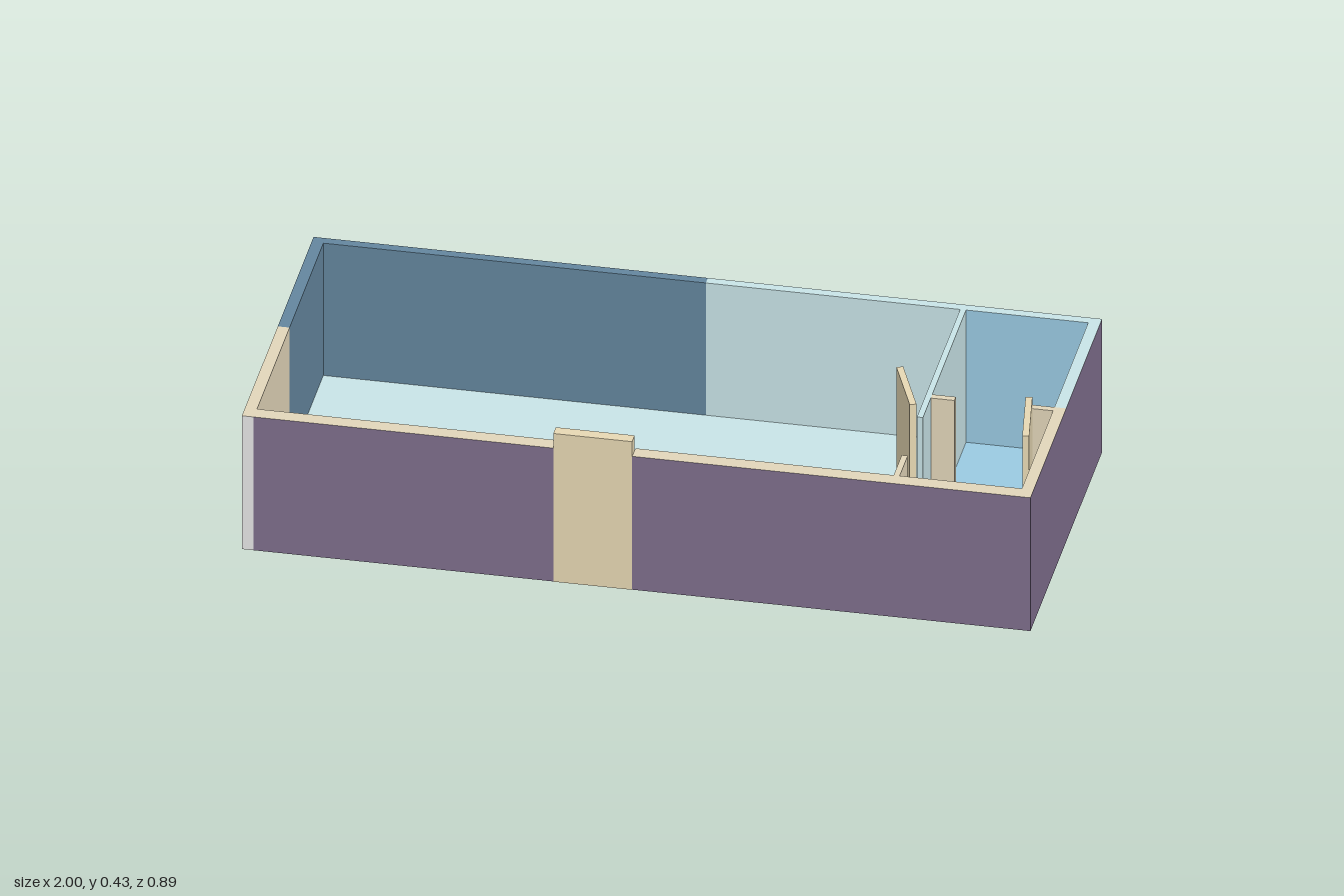
import * as THREE from 'three';

const mat = (name, color) => {
  const m = new THREE.MeshStandardMaterial({ color });
  m.name = name;
  return m;
};

export function createModel() {
  const model = new THREE.Group();
  model.name = 'openRoofHouse';

  const purple = mat('outer purple', 0x7e6e8c);
  const slate = mat('slate blue', 0x64869e);
  const pale = mat('pale blue', 0xd2eff2);
  const beige = mat('beige', 0xe2d6ba);
  const bath = mat('bath blue', 0x9acae2);
  const white = mat('white', 0xfcfcfc);
  const pink = mat('pink', 0xffd0ea);
  const wood = mat('door wood', 0xe8d9b4);

  // Box from its limits; special gives other materials to single sides
  const SIDES = ['right', 'left', 'top', 'bottom', 'front', 'back'];
  const block = (name, [x0, x1], [y0, y1], [z0, z1], base, special = {}) => {
    const mesh = new THREE.Mesh(
      new THREE.BoxGeometry(x1 - x0, y1 - y0, z1 - z0),
      SIDES.map((s) => special[s] || base)
    );
    mesh.position.set((x0 + x1) / 2, (y0 + y1) / 2, (z0 + z1) / 2);
    mesh.name = name;
    model.add(mesh);
    return mesh;
  };

  const H = [0, 0.385];
  const FLOOR = [0, 0.003];
  const BACK = [-0.445, -0.42];
  const FRONT = [0.405, 0.445];

  // Floors of the three rooms
  block('mainFloor', [-0.97, 0.647], FLOOR, [-0.42, 0.405], pale);
  block('hallFloor', [0.647, 0.97], FLOOR, [0, 0.405], beige);
  block('bathFloor', [0.66, 0.97], FLOOR, [-0.42, 0], bath);

  // Back wall
  block('backWallLeft', [-0.97, 0], H, BACK, slate, { back: purple });
  block('backWallRight', [0, 0.66], H, BACK, pale, { back: purple });
  block('backWallBath', [0.66, 0.97], H, BACK, pale, { back: purple, front: bath });

  // End walls, running the full depth
  block('leftWallRear', [-1, -0.97], H, [-0.445, 0], slate, { left: purple, back: purple });
  block('leftWallFront', [-1, -0.97], H, [0, 0.445], beige, { left: purple, front: white });
  block('rightWallRear', [0.97, 1], H, [-0.445, 0], pale, { right: purple, back: purple });
  block('rightWallFront', [0.97, 1], H, [0, 0.445], beige, { right: purple, front: purple });

  // Front wall, open at the entrance
  block('frontWallLeft', [-0.97, -0.21], H, FRONT, beige, { front: purple, back: pink });
  block('frontWallMiddle', [-0.01, 0.65], H, FRONT, beige, { front: purple, back: white });
  block('frontWallHall', [0.65, 0.97], H, FRONT, beige, { front: purple });

  // Partition beside the hall and bath, with a doorway
  block('partitionRear', [0.645, 0.66], H, [-0.42, 0.115], pale);
  block('partitionFront', [0.645, 0.66], H, [0.305, 0.405], beige);

  // Stubs either side of the bath doorway
  for (const x of [[0.66, 0.72], [0.91, 0.97]])
    block('bathPartition', x, H, [0, 0.018], beige, { back: pale });

  // Entrance door, closed
  block('entranceDoor', [-0.21, -0.01], [0, 0.428], [0.415, 0.446], wood);

  // Interior doors standing open, from hinge to free edge
  const openDoor = (name, ax, az, bx, bz) => {
    const door = block(name, [-0.0085, 0.0085], [0.003, 0.42], [0, Math.hypot(bx - ax, bz - az)], wood);
    door.position.set((ax + bx) / 2, door.position.y, (az + bz) / 2);
    door.rotation.y = Math.atan2(bx - ax, bz - az);
  };
  openDoor('hallDoor', 0.635, 0.115, 0.566, -0.058);
  openDoor('bathDoor', 0.91, 0.022, 0.94, 0.21);

  return model;
}
